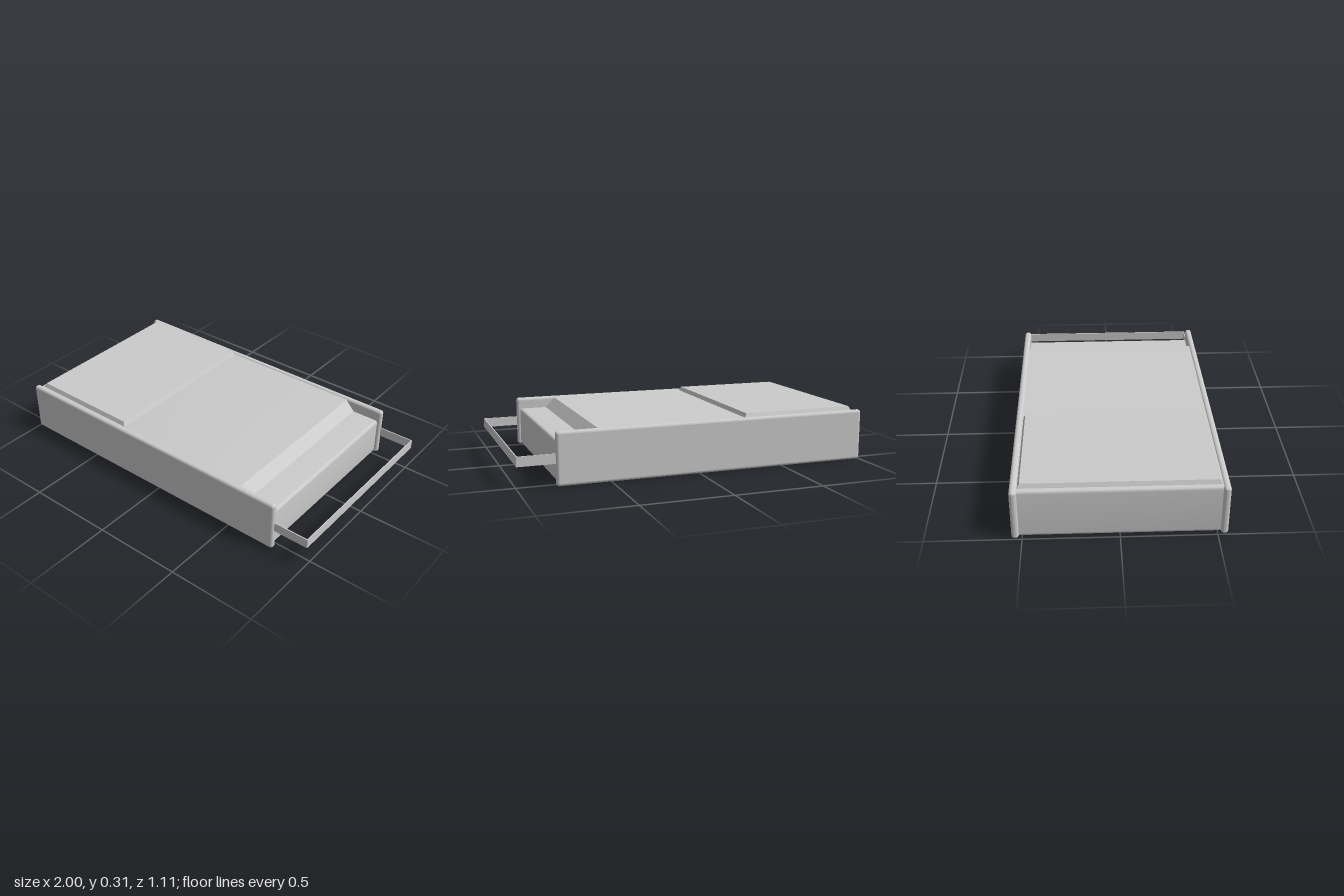
import * as THREE from 'three';
import { RoundedBoxGeometry } from 'three/addons/geometries/RoundedBoxGeometry.js';
import { toCreasedNormals } from 'three/addons/utils/BufferGeometryUtils.js';

const material = new THREE.MeshStandardMaterial({ color: 0xcccccc });

function addPart(group, name, geometry, x = 0, y = 0, z = 0) {
  const mesh = new THREE.Mesh(geometry, material);
  mesh.name = name;
  mesh.position.set(x, y, z);
  group.add(mesh);
  return mesh;
}

// Side profile (x, y) swept across the width, centred on z = 0
function sweep(shape, width) {
  const geometry = new THREE.ExtrudeGeometry(shape, { depth: width, bevelEnabled: false, curveSegments: 6 });
  geometry.translate(0, 0, -width / 2);
  return toCreasedNormals(geometry, 0.5);
}

export function createModel() {
  const model = new THREE.Group();
  model.name = 'pullOutBox';

  // Main body: stepped down at the +x end, with rounded lower and front edges
  const x0 = -0.98, x1 = 0.777, y0 = 0.006, r = 0.018;
  const profile = new THREE.Shape();
  profile.moveTo(x0 + r, y0);
  profile.lineTo(x1 - r, y0);
  profile.quadraticCurveTo(x1, y0, x1, y0 + r);
  profile.lineTo(x1, 0.21);
  profile.quadraticCurveTo(x1, 0.228, x1 - r, 0.228);
  profile.lineTo(0.615, 0.228);
  profile.lineTo(0.56, 0.287);
  profile.lineTo(x0 + r, 0.287);
  profile.quadraticCurveTo(x0, 0.287, x0, 0.287 - r);
  profile.lineTo(x0, y0 + r);
  profile.quadraticCurveTo(x0, y0, x0 + r, y0);
  addPart(model, 'body', sweep(profile, 1.04));

  // Raised lid: a box whose top corners are drawn inward
  const lid = new THREE.BoxGeometry(0.676, 0.026, 1.03);
  const p = lid.attributes.position;
  for (let i = 0; i < p.count; i++) {
    if (p.getY(i) > 0) {
      p.setX(i, p.getX(i) - Math.sign(p.getX(i)) * 0.012);
      p.setZ(i, p.getZ(i) - Math.sign(p.getZ(i)) * 0.013);
    }
  }
  lid.computeVertexNormals();
  addPart(model, 'lid', lid, -0.618, 0.297, 0);

  // Side panels with rounded rims, and the two arms of the handle
  for (const side of [1, -1]) {
    const name = side > 0 ? 'front' : 'back';
    addPart(model, name + 'SidePanel', new RoundedBoxGeometry(1.796, 0.291, 0.038, 5, 0.017),
      -0.102, 0.1485, side * 0.535);
    addPart(model, name + 'HandleArm', new THREE.BoxGeometry(0.24, 0.054, 0.006),
      0.88, 0.15, side * 0.536);
  }

  // Cross strap of the handle
  addPart(model, 'handleStrap', new THREE.BoxGeometry(0.006, 0.054, 1.078), 0.997, 0.15, 0);

  return model;
}
